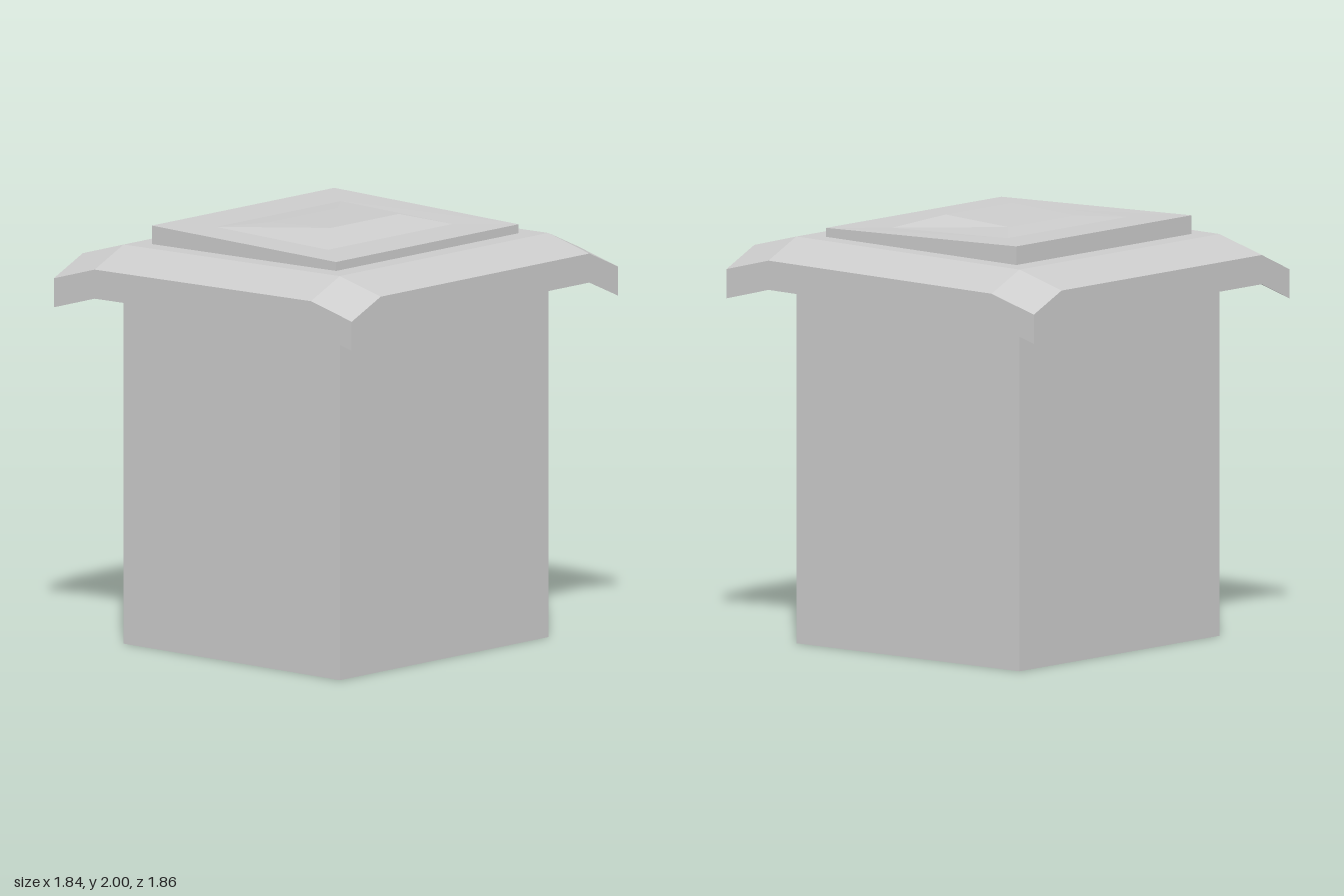
import * as THREE from 'three';

const stone = new THREE.MeshStandardMaterial({ color: 0xcccccc });
stone.name = 'light grey';

// Builds a hard-edged mesh from quads whose corners run counter-clockwise
function quadMesh(name, quads) {
  const pos = quads.flatMap(([a, b, c, d]) => [a, b, c, a, c, d].flat());
  const geo = new THREE.BufferGeometry();
  geo.setAttribute('position', new THREE.Float32BufferAttribute(pos, 3));
  geo.computeVertexNormals();
  const mesh = new THREE.Mesh(geo, stone);
  mesh.name = name;
  return mesh;
}

// Slab with drooping eaves, leaning slightly down towards the back
function makeRoof() {
  const xs = [-0.92, -0.72, 0.72, 0.92];
  const zs = [-0.93, -0.675, 0.675, 0.93];
  const thickness = 0.137;
  const edge = (i) => i === 0 || i === 3;
  const top = (i, j) => [
    xs[i],
    1.893 + 0.0175 * zs[j] - (edge(i) ? 0.09 : 0) - (edge(j) ? 0.069 : 0),
    zs[j],
  ];
  const low = (i, j) => {
    const [x, y, z] = top(i, j);
    return [x, y - thickness, z];
  };
  const quads = [];
  for (let i = 0; i < 3; i++) {
    for (let j = 0; j < 3; j++) {
      quads.push([top(i, j), top(i, j + 1), top(i + 1, j + 1), top(i + 1, j)]);
      quads.push([low(i, j), low(i + 1, j), low(i + 1, j + 1), low(i, j + 1)]);
    }
    // Front, back, right and left rims
    quads.push([low(i, 3), low(i + 1, 3), top(i + 1, 3), top(i, 3)]);
    quads.push([low(i + 1, 0), low(i, 0), top(i, 0), top(i + 1, 0)]);
    quads.push([low(3, i + 1), low(3, i), top(3, i), top(3, i + 1)]);
    quads.push([low(0, i), low(0, i + 1), top(0, i + 1), top(0, i)]);
  }
  return quadMesh('roof', quads);
}

// Cap made of nested rectangles: half width, front z, back z, front y, back y
function makeCap() {
  const loops = [
    [0.63, 0.57, -0.58, 1.87, 1.85],
    [0.63, 0.57, -0.58, 1.945, 1.97],
    [0.43, 0.34, -0.36, 1.945, 1.964],
    [0.235, 0.18, -0.2, 2.0, 1.978],
  ].map(([w, zf, zb, yf, yb]) => [[-w, yf, zf], [w, yf, zf], [w, yb, zb], [-w, yb, zb]]);
  const quads = [loops[3], [...loops[0]].reverse()];
  for (let k = 0; k < 3; k++) {
    for (let s = 0; s < 4; s++) {
      const n = (s + 1) % 4;
      quads.push([loops[k][s], loops[k][n], loops[k + 1][n], loops[k + 1][s]]);
    }
  }
  return quadMesh('cap', quads);
}

export function createModel() {
  const model = new THREE.Group();
  model.name = 'cappedPillar';

  // Square shaft, reaching up into the roof slab
  const shaft = new THREE.Mesh(new THREE.BoxGeometry(1.44, 1.8, 1.35), stone);
  shaft.name = 'shaft';
  shaft.position.y = 0.9;

  model.add(shaft, makeRoof(), makeCap());
  return model;
}
